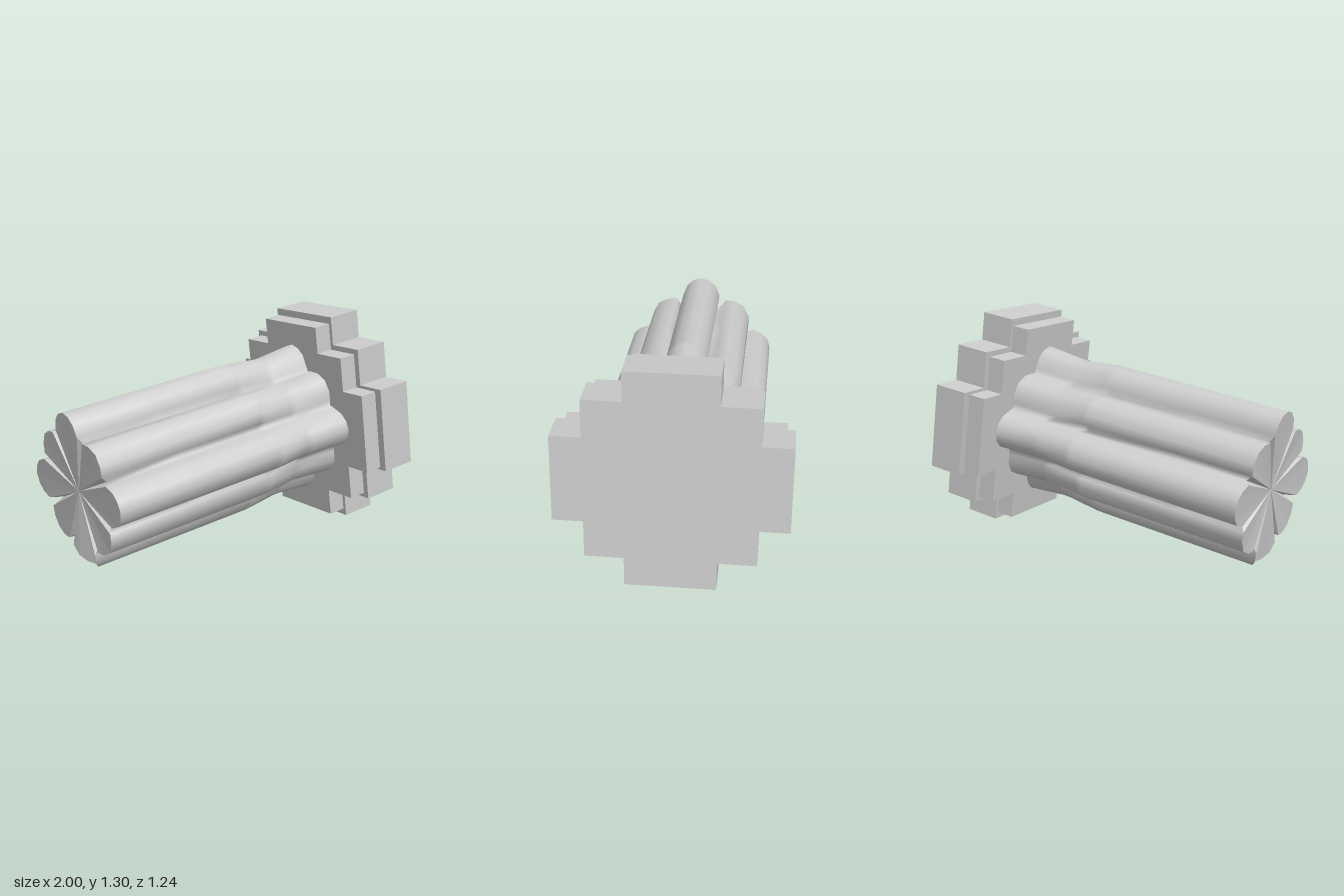
import * as THREE from 'three';

const grey = new THREE.MeshStandardMaterial({ color: 0xcccccc });

// Stepped round plate, extruded along the local x axis from x0 to x1
function steppedPlate(name, radius, x0, x1) {
  const a = radius * 0.395, b = radius * 0.734;
  const corner = [[radius, a], [b, a], [b, b], [a, b], [a, radius]];
  const points = [];
  for (let q = 0; q < 4; q++) {
    const c = Math.round(Math.cos(q * Math.PI / 2)), s = Math.round(Math.sin(q * Math.PI / 2));
    corner.forEach(([x, y]) => points.push(new THREE.Vector2(x * c - y * s, x * s + y * c)));
  }
  const geo = new THREE.ExtrudeGeometry(new THREE.Shape(points), { depth: x1 - x0, bevelEnabled: false });
  geo.rotateY(Math.PI / 2).translate(x0, 0, 0);
  const mesh = new THREE.Mesh(geo, grey);
  mesh.name = name;
  return mesh;
}

// One 90 degree repeat of the fluted section: [angle, radius, isValley]
const quarter = [
  [0, 0.45], [7, 0.437], [13, 0.408], [19, 0.355], [22.5, 0.28, true],
  [27, 0.345], [35, 0.372], [45, 0.387], [55, 0.372], [63, 0.345],
  [67.5, 0.28, true], [71, 0.355], [77, 0.408], [83, 0.437],
];
const section = [];
for (let q = 0; q < 4; q++) quarter.forEach(([d, r, v]) => section.push({ deg: d + q * 90, r, valley: !!v }));

// Stations along the shaft: [x, lobe scale, valley radius]
const stations = [
  [-1.865, 1, 0.28], [-1.4, 1, 0.28], [-0.83, 1, 0.285], [-0.79, 0.995, 0.288],
  [-0.6, 0.947, 0.32], [-0.55, 0.947, 0.325], [-0.31, 1, 0.33], [-0.25, 1, 0.33],
];

// Uneven end: notches set in, lowest lobe cut back
function endShift({ deg, valley }) {
  if (valley) return 0.05;
  const low = Math.max(0, 1 - Math.abs(deg - 180) / 16);
  return 0.075 * low - 0.01 * Math.max(0, Math.cos(deg * Math.PI / 90));
}

function flutedShaft() {
  const n = section.length, pos = [], index = [];
  stations.forEach(([x, scale, valleyR], row) => section.forEach((p) => {
    const r = p.valley ? valleyR : p.r * scale, t = p.deg * Math.PI / 180;
    pos.push(x + (row === 0 ? endShift(p) : 0), r * Math.cos(t), r * Math.sin(t));
  }));
  for (let i = 0; i < stations.length - 1; i++) {
    for (let j = 0; j < n; j++) {
      const a = i * n + j, b = i * n + (j + 1) % n;
      index.push(a, b, a + n, b, b + n, a + n);
    }
  }
  const side = new THREE.BufferGeometry();
  side.setAttribute('position', new THREE.Float32BufferAttribute(pos, 3));
  side.setIndex(index);
  side.computeVertexNormals();

  // Star-shaped end face fanned from the centre
  const capPos = [-1.85, 0, 0, ...pos.slice(0, n * 3)], capIndex = [];
  for (let j = 0; j < n; j++) capIndex.push(0, 1 + (j + 1) % n, 1 + j);
  const capIndexed = new THREE.BufferGeometry();
  capIndexed.setAttribute('position', new THREE.Float32BufferAttribute(capPos, 3));
  capIndexed.setIndex(capIndex);
  const cap = capIndexed.toNonIndexed();
  cap.computeVertexNormals();

  const group = new THREE.Group();
  group.name = 'flutedShaft';
  [['shaftSide', side], ['shaftEnd', cap]].forEach(([name, geo]) => {
    const mesh = new THREE.Mesh(geo, grey);
    mesh.name = name;
    group.add(mesh);
  });
  return group;
}

export function createModel() {
  const model = new THREE.Group();
  const body = new THREE.Group();
  body.name = 'tiltedBody';
  body.add(
    steppedPlate('headPlate', 0.62, -0.205, 0),
    steppedPlate('collarPlate', 0.58, -0.313, -0.209),
    flutedShaft(),
  );
  // The whole piece lies at a slight tilt
  body.position.set(0.9175, 0.68, 0);
  body.rotation.z = THREE.MathUtils.degToRad(7.6);
  model.add(body);
  return model;
}
